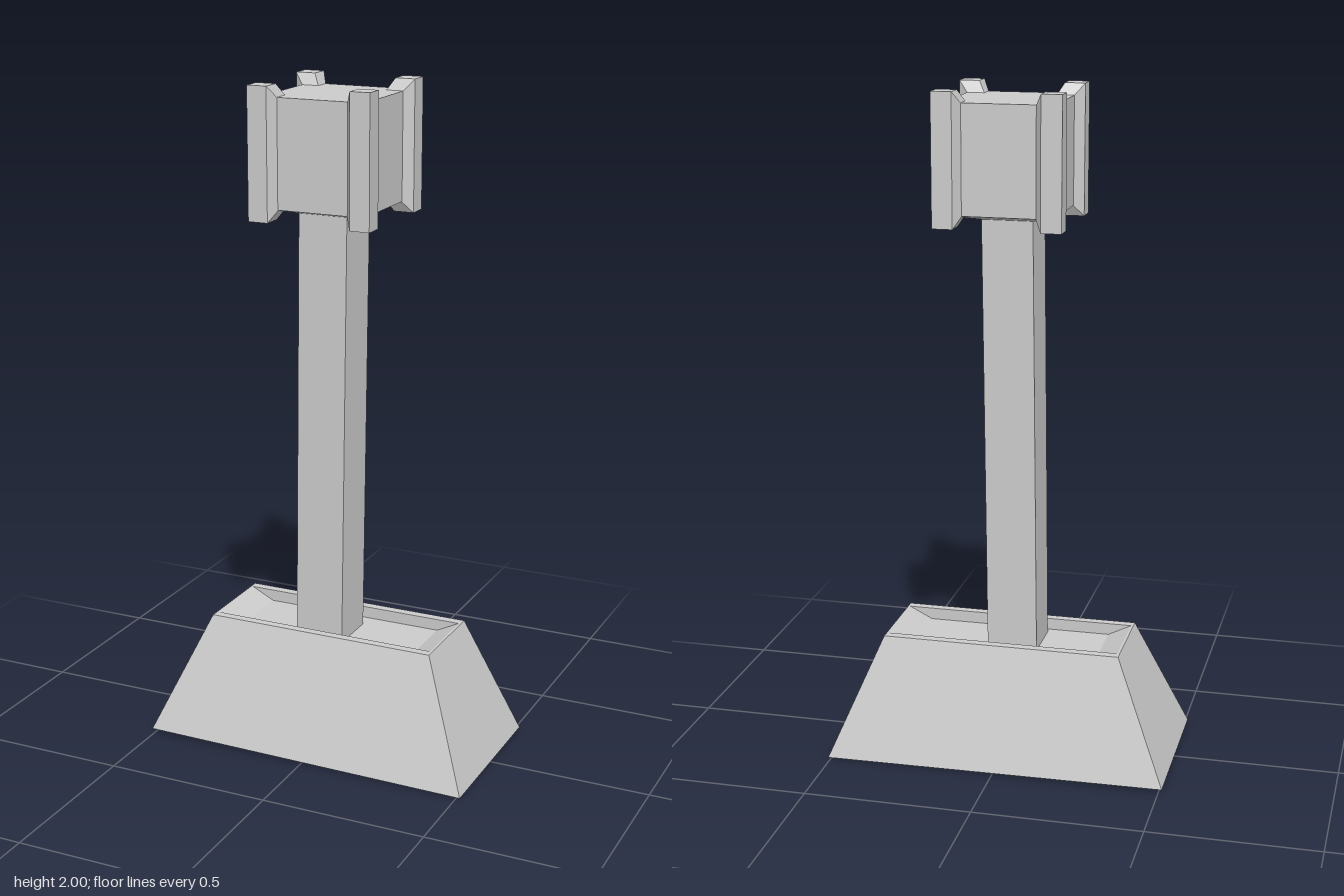
import * as THREE from 'three';
import { ConvexGeometry } from 'three/addons/geometries/ConvexGeometry.js';

const material = new THREE.MeshStandardMaterial({ color: 0xcccccc, flatShading: true });

// Skin a stack of rectangular rings [x0, x1, z0, z1, y at x0, y at x1], capped at both ends
function loft(rings) {
  const corners = rings.map(([x0, x1, z0, z1, ya, yb = ya]) => [
    [x0, ya, z1], [x1, yb, z1], [x1, yb, z0], [x0, ya, z0],
  ]);
  const pos = [];
  const quad = (a, b, c, d) => [a, b, c, a, c, d].forEach((p) => pos.push(...p));
  for (let r = 0; r < corners.length - 1; r++) {
    const a = corners[r], b = corners[r + 1];
    for (let i = 0; i < 4; i++) {
      const j = (i + 1) % 4;
      quad(a[i], a[j], b[j], b[i]);
    }
  }
  const first = corners[0], last = corners[corners.length - 1];
  quad(first[3], first[2], first[1], first[0]);
  quad(last[0], last[1], last[2], last[3]);
  const geometry = new THREE.BufferGeometry();
  geometry.setAttribute('position', new THREE.Float32BufferAttribute(pos, 3));
  geometry.computeVertexNormals();
  return geometry;
}

export function createModel() {
  const model = new THREE.Group();
  model.name = 'hammer';
  const add = (name, geometry, parent = model) => {
    const mesh = new THREE.Mesh(geometry, material);
    mesh.name = name;
    parent.add(mesh);
  };

  // Tapered block with a shallow trough sunk into its top
  add('base', loft([
    [-0.51, 0.51, -0.255, 0.252, 0.01, 0],
    [-0.357, 0.357, -0.155, 0.127, 0.37],
    [-0.35, 0.35, -0.127, 0.1, 0.37],
    [-0.28, 0.28, -0.127, 0.1, 0.335],
  ]));

  // Slightly leaning square shaft
  add('shaft', loft([
    [-0.095, 0.055, -0.077, 0.079, 0.33],
    [-0.08, 0.07, -0.077, 0.079, 1.64],
  ]));

  // Cubic head with a shallow taper underneath
  const head = new THREE.Group();
  head.name = 'head';
  model.add(head);
  add('headBlock', loft([
    [-0.08, 0.07, -0.077, 0.079, 1.632],
    [-0.158, 0.158, -0.157, 0.158, 1.652],
    [-0.158, 0.158, -0.157, 0.158, 1.967],
  ]), head);

  // Corner posts: an outer bar flaring inward to the head's corner
  for (const sx of [-1, 1]) {
    for (const sz of [-1, 1]) {
      const points = [];
      const bar = (inner, outer, low, high) => {
        for (const x of [inner, outer])
          for (const z of [inner, outer])
            for (const y of [low, high])
              points.push(new THREE.Vector3(sx * x, y, sz * z));
      };
      bar(0.107, 0.158, 1.65, 1.967);
      bar(0.126, 0.186, 1.618, 2);
      add('cornerPost', new ConvexGeometry(points), head);
    }
  }
  return model;
}
